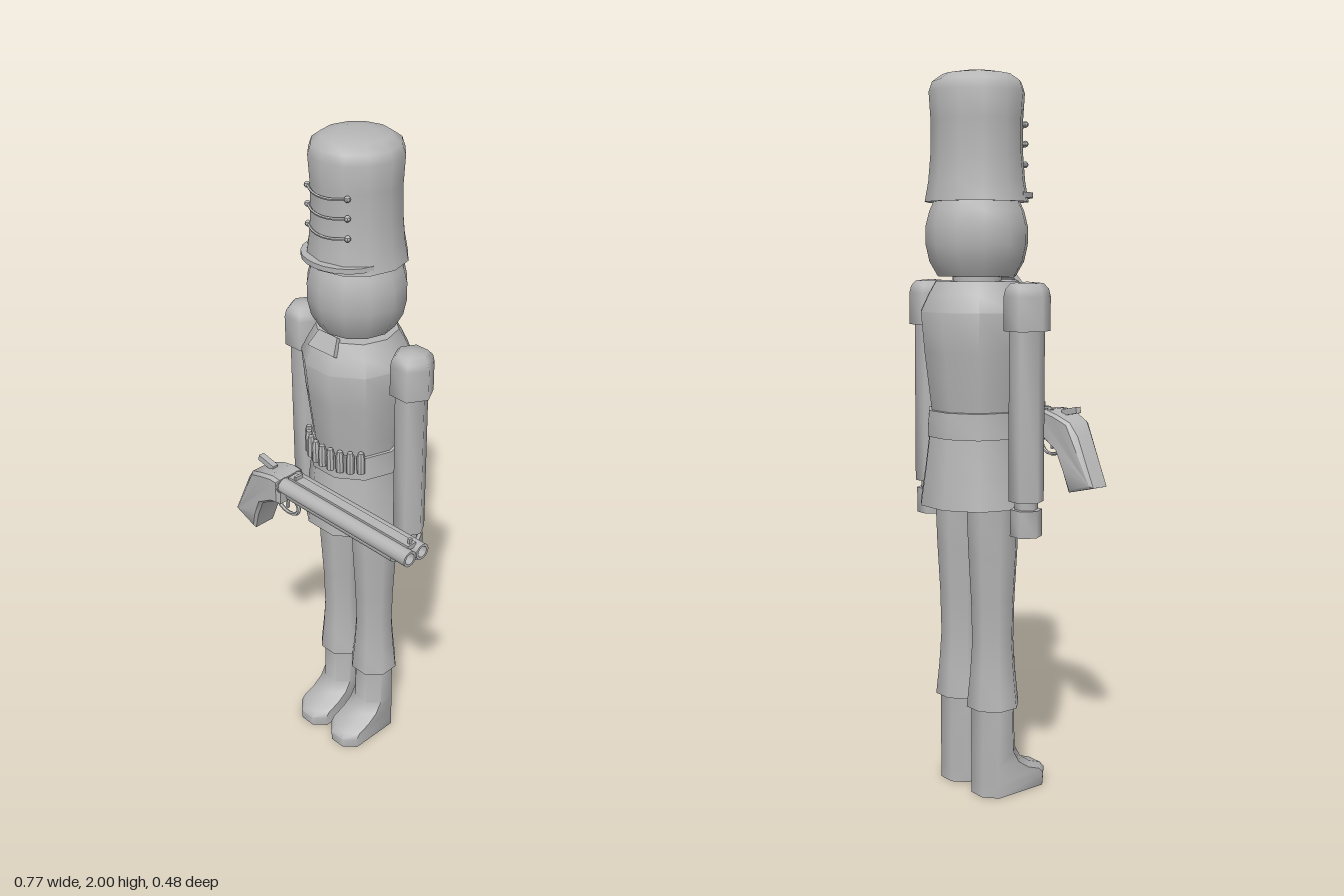
import * as THREE from 'three';
import { toCreasedNormals } from 'three/addons/utils/BufferGeometryUtils.js';

const grey = new THREE.MeshStandardMaterial({ color: 0xb6b6b6 });
grey.name = 'plainGrey';

const CX = -0.113, CZ = -0.082; // body axis
const GZ = 0.188;               // gun centre plane

export function createModel() {
  const model = new THREE.Group();
  model.name = 'toySoldier';

  function add(name, geo, x = 0, y = 0, z = 0, crease = 0.75, parent = model) {
    const mesh = new THREE.Mesh(toCreasedNormals(geo, crease), grey);
    mesh.name = name;
    mesh.position.set(x, y, z);
    parent.add(mesh);
    return mesh;
  }

  // Turned solid: [radius, height] from bottom to top, corners on the x axis
  function turned(profile, sides = 10) {
    const pts = profile.map(([r, y]) => new THREE.Vector2(r, y));
    return new THREE.LatheGeometry(pts, sides, Math.PI / 2);
  }

  // Solid built from stacked rings of equal point count
  function loft(rings) {
    const n = rings[0].length, pos = rings.flat(2), idx = [];
    for (let j = 0; j < rings.length - 1; j++) {
      for (let i = 0; i < n; i++) {
        const a = j * n + i, b = j * n + (i + 1) % n;
        idx.push(a, a + n, b, b, a + n, b + n);
      }
    }
    const top = (rings.length - 1) * n;
    for (let i = 1; i < n - 1; i++) {
      idx.push(0, i, i + 1, top, top + i + 1, top + i);
    }
    const g = new THREE.BufferGeometry();
    g.setAttribute('position', new THREE.Float32BufferAttribute(pos, 3));
    g.setIndex(idx);
    return g;
  }

  // Head and neck
  add('neck', turned([[0.07, 1.42], [0.07, 1.47]]), CX, 0, CZ);
  add('head', turned([[0, 1.452], [0.108, 1.455], [0.131, 1.495], [0.141, 1.54],
    [0.141, 1.59], [0.131, 1.63], [0.115, 1.665], [0, 1.665]], 12), CX, 0, CZ);

  // Tall hat with peak and three cords
  add('hat', turned([[0, 1.66], [0.143, 1.655], [0.133, 1.71], [0.127, 1.78], [0.126, 1.87],
    [0.131, 1.945], [0.122, 1.972], [0.095, 1.991], [0.05, 1.999], [0, 2]], 12), CX, 0, CZ);
  const peak = new THREE.Shape();
  peak.moveTo(-0.125, 0.06);
  peak.bezierCurveTo(-0.1, 0.19, 0.1, 0.19, 0.125, 0.06);
  peak.closePath();
  const peakGeo = new THREE.ExtrudeGeometry(peak, { depth: 0.014, bevelEnabled: false, curveSegments: 10 });
  peakGeo.rotateX(Math.PI / 2);
  add('hatPeak', peakGeo, CX, 1.68, CZ);
  for (const y of [1.755, 1.81, 1.862]) {
    const at = (dx, dy, r = 0.131) => new THREE.Vector3(CX + dx, y + dy, CZ + Math.sqrt(r * r - dx * dx));
    const path = new THREE.CatmullRomCurve3([at(-0.073, 0), at(-0.04, -0.005), at(0, -0.007), at(0.04, -0.005), at(0.073, 0)]);
    add('hatCord', new THREE.TubeGeometry(path, 12, 0.004, 5));
    for (const s of [-1, 1]) {
      const p = at(s * 0.075, 0);
      add('hatButton', new THREE.SphereGeometry(0.009, 8, 6), p.x, p.y, p.z);
    }
  }

  // Coat, belt and skirt
  add('coat', turned([[0, 1.06], [0.128, 1.06], [0.137, 1.13], [0.152, 1.25], [0.162, 1.36],
    [0.14, 1.405], [0.118, 1.443], [0, 1.443]]), CX, 0, CZ, 0.7);
  add('belt', turned([[0.125, 1.018], [0.144, 1.018], [0.14, 1.09], [0.125, 1.092]]), CX, 0, CZ);
  add('coatSkirt', turned([[0, 0.827], [0.165, 0.827], [0.151, 0.92], [0.138, 1.022], [0, 1.022]]), CX, 0, CZ);

  // Neck cloth lying on the front of the collar
  const cloth = new THREE.Shape([[-0.052, 0], [0.052, 0], [0.036, 0.052], [-0.036, 0.052]]
    .map(([x, y]) => new THREE.Vector2(x, y)));
  const clothMesh = add('neckCloth', new THREE.ExtrudeGeometry(cloth, { depth: 0.014, bevelEnabled: false }),
    CX, 1.408, CZ + 0.13);
  clothMesh.rotation.x = -0.6;

  // Cartridges along the front of the belt
  for (let i = 0; i < 9; i++) {
    const a = (i - 4) * 0.215;
    add('cartridge', turned([[0, 1.045], [0.012, 1.045], [0.012, 1.098], [0.008, 1.112], [0, 1.113]], 8),
      CX + Math.sin(a) * 0.143, 0, CZ + Math.cos(a) * 0.143);
  }

  // Arms, legs and boots, mirrored about the body axis
  for (const [side, s] of [['left', 1], ['right', -1]]) {
    const ax = CX + s * 0.213;
    add(side + 'Shoulder', turned([[0, 1.315], [0.063, 1.315], [0.063, 1.405], [0.058, 1.425],
      [0.044, 1.44], [0, 1.444]], 6), ax, 0, CZ, 1.08);
    add(side + 'Arm', turned([[0, 0.86], [0.048, 0.86], [0.048, 1.32]], 6), ax, 0, CZ, 1.08);
    add(side + 'Wrist', turned([[0.032, 0.835], [0.032, 0.865]], 6), ax, 0, CZ, 1.08);
    add(side + 'Hand', turned([[0, 0.765], [0.044, 0.765], [0.044, 0.838], [0, 0.84]], 6), ax, 0, CZ, 1.08);

    const lx = CX + s * 0.072;
    add(side + 'Trouser', turned([[0, 0.255], [0.076, 0.255], [0.066, 0.35], [0.06, 0.44], [0.063, 0.56],
      [0.071, 0.7], [0.076, 0.83]], 8).rotateY(Math.PI / 8), lx, 0, CZ, 0.85);

    // Octagonal rings whose front half slides forward to form the toe
    const rings = [[0, 0.112], [0.035, 0.115], [0.052, 0.1], [0.066, 0.06], [0.09, 0.025],
      [0.125, 0.004], [0.27, 0]].map(([y, slide]) => {
      const ring = [];
      for (let i = 0; i < 8; i++) {
        const a = (i + 0.5) * Math.PI / 4;
        ring.push([Math.cos(a) * 0.065, y, Math.sin(a) * 0.061 + (Math.sin(a) > 0 ? slide : 0)]);
      }
      return ring;
    });
    add(side + 'Boot', loft(rings), lx, 0, CZ, 0.85);
  }

  // Gun held across the front, muzzle towards +x
  const gun = new THREE.Group();
  gun.name = 'gun';
  gun.position.z = GZ;
  model.add(gun);
  const part = (name, geo, x, y, z, crease = 0.75) => add(name, geo, x, y, z, crease, gun);

  const outline = [[-0.328, 0.866], [-0.235, 0.842], [-0.215, 0.9], [-0.19, 0.955], [-0.14, 0.985], [-0.11, 0.99],
    [-0.11, 1.07], [-0.14, 1.072], [-0.185, 1.062], [-0.235, 1.042], [-0.262, 1.005]];
  const stockGeo = new THREE.ExtrudeGeometry(new THREE.Shape(outline.map(([x, y]) => new THREE.Vector2(x, y))),
    { depth: 0.8, bevelThickness: 0.1, bevelSize: 0.008, bevelOffset: -0.008, bevelSegments: 1 });
  const sp = stockGeo.attributes.position;
  for (let i = 0; i < sp.count; i++) { // slim grip, wider action
    const half = THREE.MathUtils.lerp(0.032, 0.05, THREE.MathUtils.smoothstep(sp.getX(i), -0.27, -0.2));
    sp.setZ(i, (sp.getZ(i) - 0.4) * 2 * half);
  }
  part('stock', stockGeo, 0, 0, 0, 0.6);

  // Hollow side-by-side barrels
  for (const s of [-1, 1]) {
    const barrel = turned([[0.016, 0.45], [0.016, 0.53], [0.0235, 0.53], [0.0235, 0]].reverse(), 12);
    barrel.rotateZ(-Math.PI / 2);
    part('barrel', barrel, -0.15, 1.046, s * 0.0235);
    const bore = new THREE.CircleGeometry(0.016, 12).rotateY(Math.PI / 2);
    part('boreEnd', bore, 0.3, 1.046, s * 0.0235);
    const collar = turned([[0, 0], [0.026, 0], [0.026, 0.04], [0, 0.04]], 12).rotateZ(-Math.PI / 2);
    part('barrelCollar', collar, -0.15, 1.046, s * 0.0235);
  }
  const foreEnd = new THREE.CylinderGeometry(0.02, 0.02, 0.425, 10).rotateZ(Math.PI / 2);
  part('foreEnd', foreEnd, 0.0925, 1.007, 0);
  part('topRib', new THREE.BoxGeometry(0.465, 0.014, 0.03), 0.132, 1.067, 0);
  part('frontSight', new THREE.BoxGeometry(0.008, 0.016, 0.01), 0.356, 1.081, 0);
  part('rearSight', new THREE.BoxGeometry(0.008, 0.012, 0.026), -0.075, 1.079, 0);
  const lever = part('topLever', new THREE.BoxGeometry(0.062, 0.018, 0.018), -0.205, 1.07, 0);
  lever.rotation.z = -0.2;

  // Trigger and guard
  const guard = new THREE.TorusGeometry(0.038, 0.006, 6, 16).scale(1.15, 0.8, 1);
  part('triggerGuard', guard, -0.122, 0.967, 0);
  part('trigger', new THREE.BoxGeometry(0.008, 0.035, 0.008), -0.125, 0.97, 0);

  return model;
}
